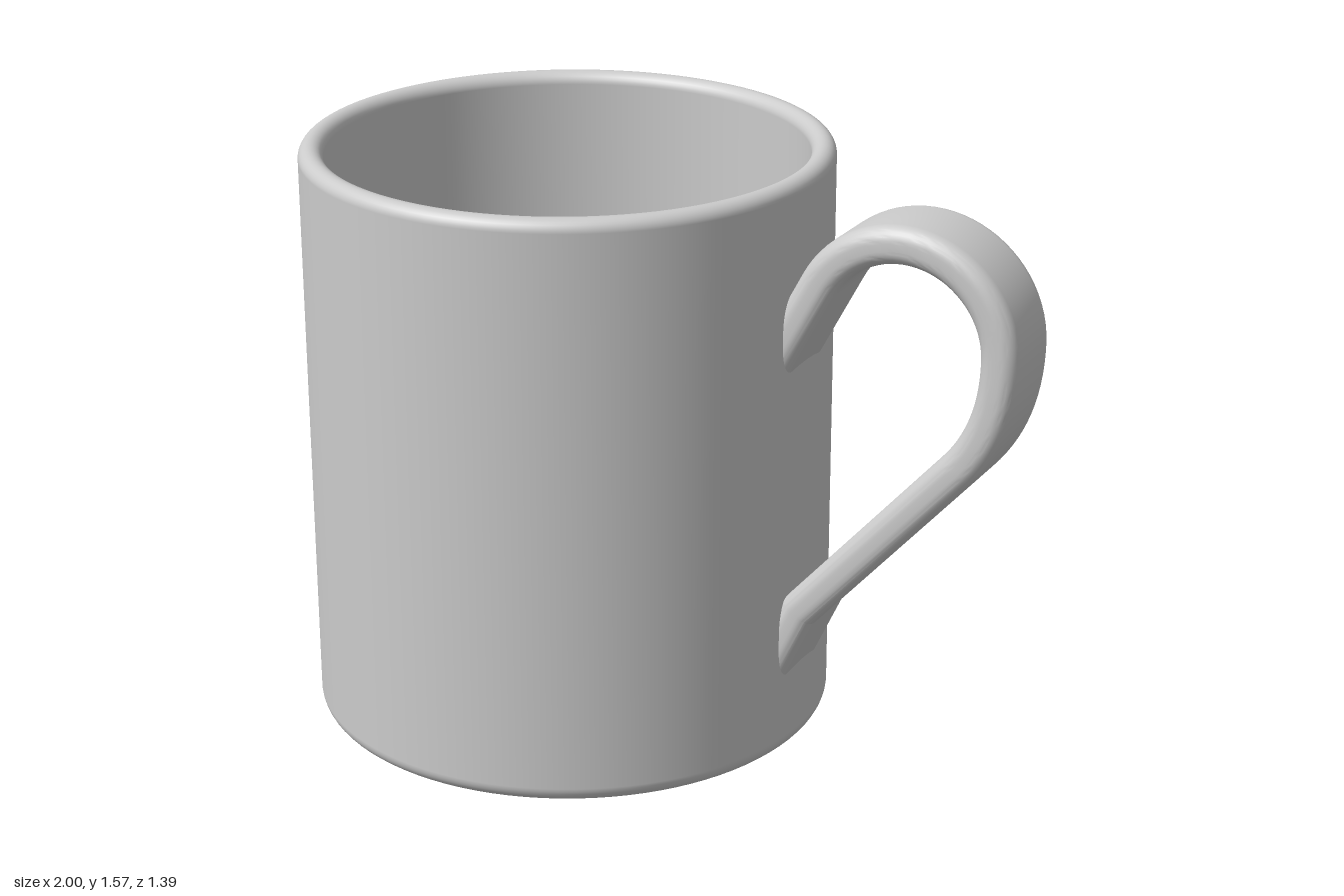
import * as THREE from 'three';
import { toCreasedNormals } from 'three/addons/utils/BufferGeometryUtils.js';

const V = (x, y) => new THREE.Vector2(x, y);

// Points along a circular arc, both ends included
function arc(cx, cy, r, from, to, steps) {
  return Array.from({ length: steps + 1 }, (_, i) => {
    const a = from + ((to - from) * i) / steps;
    return V(cx + r * Math.cos(a), cy + r * Math.sin(a));
  });
}

// Hollow cup: rounded foot, round lip, filleted floor
function cupGeometry() {
  const R = 0.695, H = 1.57, inner = 0.63, floor = 0.07;
  const foot = 0.045, lip = (R - inner) / 2, fillet = 0.05;
  return new THREE.LatheGeometry([
    V(0, 0),
    ...arc(R - foot, foot, foot, -Math.PI / 2, 0, 8),
    ...arc(R - lip, H - lip, lip, 0, Math.PI, 14),
    ...arc(inner - fillet, floor + fillet, fillet, 0, -Math.PI / 2, 8),
    V(0, floor),
  ], 96);
}

// Cross-section of the handle strip: x is thickness, y is width
function stripSection(thickness, width, r) {
  const x = thickness / 2 - r, y = width / 2 - r, q = Math.PI / 2;
  return [[x, y], [-x, y], [-x, -y], [x, -y]].flatMap(
    ([cx, cy], k) => arc(cx, cy, r, k * q, (k + 1) * q, 8));
}

// Strip swept along a path in the xy plane with mitred bends;
// both ends are trimmed to the plane x = endX, inside the cup wall
function handleGeometry(path, section, endX) {
  const positions = [], index = [], n = section.length, last = path.length - 1;
  path.forEach((p, i) => {
    const before = path[Math.max(i - 1, 0)], after = path[Math.min(i + 1, last)];
    const inDir = (i ? p.clone().sub(before) : after.clone().sub(p)).normalize();
    const outDir = (i < last ? after.clone().sub(p) : inDir.clone()).normalize();
    const t = inDir.clone().add(outDir).normalize();
    const mitre = 1 / t.dot(inDir);
    for (const s of section) {
      const v = V(p.x - t.y * s.x * mitre, p.y + t.x * s.x * mitre);
      if (i === 0 || i === last) v.addScaledVector(t, (endX - v.x) / t.x);
      positions.push(v.x, v.y, s.y);
    }
    if (i === last) return;
    for (let j = 0; j < n; j++) {
      const a = i * n + j, b = i * n + ((j + 1) % n);
      index.push(a, b, b + n, a, b + n, a + n);
    }
  });
  const geometry = new THREE.BufferGeometry();
  geometry.setAttribute('position', new THREE.Float32BufferAttribute(positions, 3));
  geometry.setIndex(index);
  return toCreasedNormals(geometry, 0.25);
}

export function createModel() {
  const group = new THREE.Group();
  group.name = 'mug';
  const material = new THREE.MeshStandardMaterial({ color: 0xcccccc });

  const cup = new THREE.Mesh(cupGeometry(), material);
  cup.name = 'cup';
  cup.position.x = -0.305;
  group.add(cup);

  // Handle: round top loop, gentle bend, straight run, short steeper foot
  const bend = new THREE.QuadraticBezierCurve(V(0.95, 1.2), V(0.95, 1.01), V(0.84, 0.89));
  const path = [
    V(0.35, 1.115),
    ...arc(0.69, 1.2, 0.26, THREE.MathUtils.degToRad(152), 0, 32),
    ...bend.getPoints(14).slice(1),
    V(0.42, 0.42),
    V(0.35, 0.27),
  ];
  const handle = new THREE.Mesh(
    handleGeometry(path, stripSection(0.1, 0.24, 0.04), 0.35), material);
  handle.name = 'handle';
  group.add(handle);

  return group;
}
